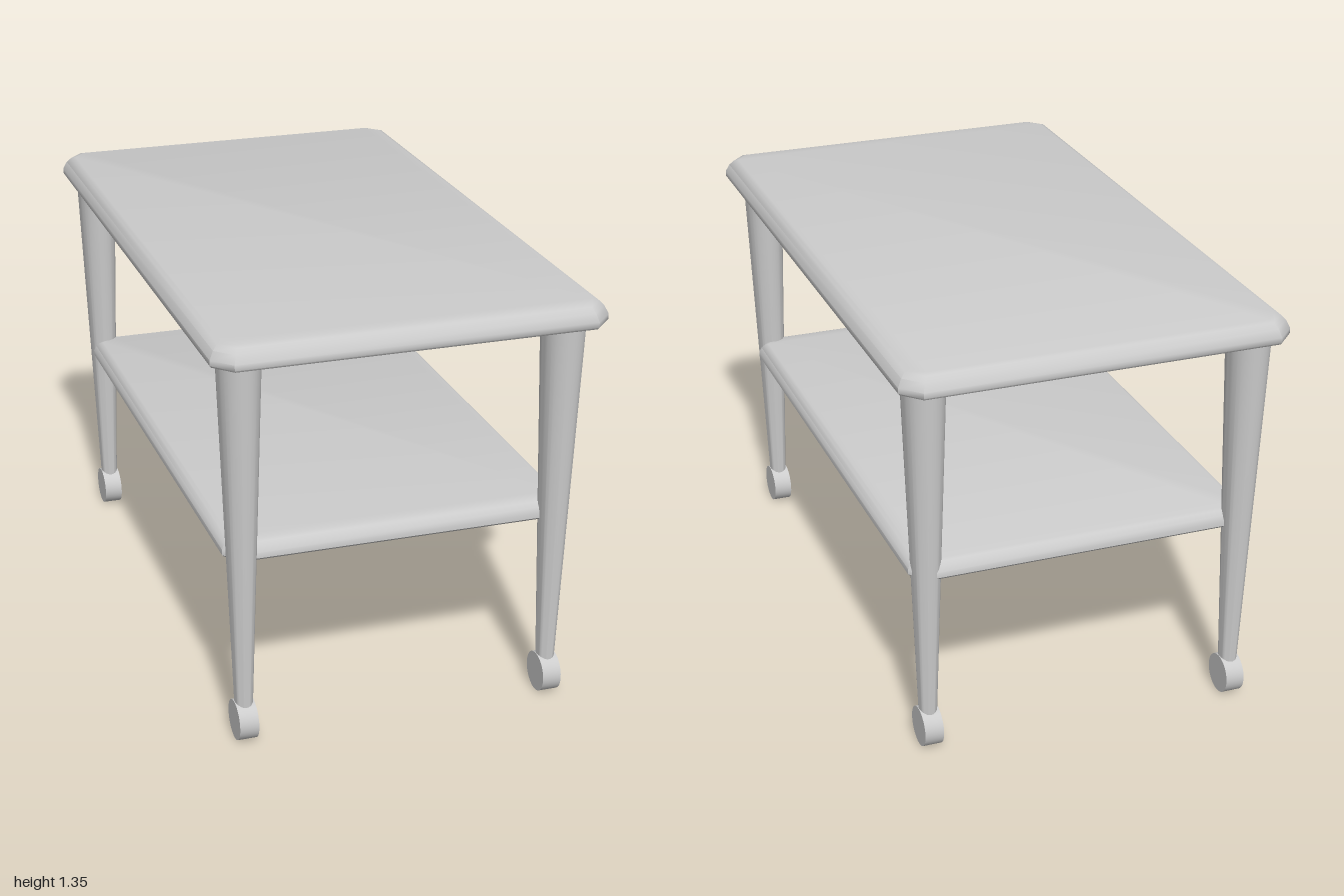
import * as THREE from 'three';
import { toCreasedNormals } from 'three/addons/utils/BufferGeometryUtils.js';

const material = new THREE.MeshStandardMaterial({ color: 0xcccccc });

// The whole trolley is slightly skewed in plan
const skew = new THREE.Matrix4().set(
  1, 0, -0.036, 0,
  0, 1, 0, 0,
  0.08, 0, 1, 0,
  0, 0, 0, 1
);

function part(name, geometry, crease = 0.7) {
  const mesh = new THREE.Mesh(toCreasedNormals(geometry.applyMatrix4(skew), crease), material);
  mesh.name = name;
  return mesh;
}

// Board with clipped corners; layers are [y, inset] from bottom to top
function board(hx, hz, clip, layers) {
  const pos = [], index = [];
  for (const [y, inset] of layers) {
    const x = hx - inset, z = hz - inset, c = clip - inset * 0.4;
    const ring = [
      [x, z - c], [x, c - z], [x - c, -z], [c - x, -z],
      [-x, c - z], [-x, z - c], [c - x, z], [x - c, z],
    ];
    for (const [px, pz] of ring) pos.push(px, y, pz);
  }
  const last = (layers.length - 1) * 8;
  for (let l = 0; l < last; l += 8) {
    for (let i = 0; i < 8; i++) {
      const a = l + i, b = l + (i + 1) % 8;
      index.push(a, b, b + 8, a, b + 8, a + 8);
    }
  }
  for (let i = 1; i < 7; i++) {
    index.push(last, last + i, last + i + 1, 0, i + 1, i);
  }
  const g = new THREE.BufferGeometry();
  g.setAttribute('position', new THREE.Float32BufferAttribute(pos, 3));
  g.setIndex(index);
  return g;
}

export function createModel() {
  const group = new THREE.Group();
  group.name = 'servingTrolley';

  // Table top and lower shelf, rounded over on the upper edge
  group.add(part('tableTop', board(0.6, 0.957, 0.055,
    [[1.277, 0.004], [1.283, 0], [1.3, 0], [1.325, 0.012], [1.34, 0.026], [1.345, 0.04]])));
  group.add(part('lowerShelf', board(0.545, 0.845, 0.05,
    [[0.613, 0.006], [0.62, 0], [0.638, 0], [0.655, 0.008], [0.667, 0.018], [0.672, 0.03]])));

  // Tapered legs, each standing on a wheel
  const corners = [
    ['frontLeft', 0.457, 0.88], ['frontRight', -0.529, 0.796],
    ['backLeft', 0.521, -0.76], ['backRight', -0.47, -0.88],
  ];
  for (const [name, x, z] of corners) {
    const legGeometry = new THREE.CylinderGeometry(0.066, 0.027, 1.2, 32);
    legGeometry.scale(1, 1, 1.13);
    const leg = part(name + 'Leg', legGeometry);
    leg.position.set(x, 0.69, z);

    const wheelGeometry = new THREE.CylinderGeometry(0.065, 0.065, 0.06, 32);
    wheelGeometry.rotateZ(Math.PI / 2).scale(1, 1, 0.94);
    const wheel = part(name + 'Wheel', wheelGeometry);
    wheel.position.set(x, 0.065, z);
    group.add(leg, wheel);
  }
  return group;
}
